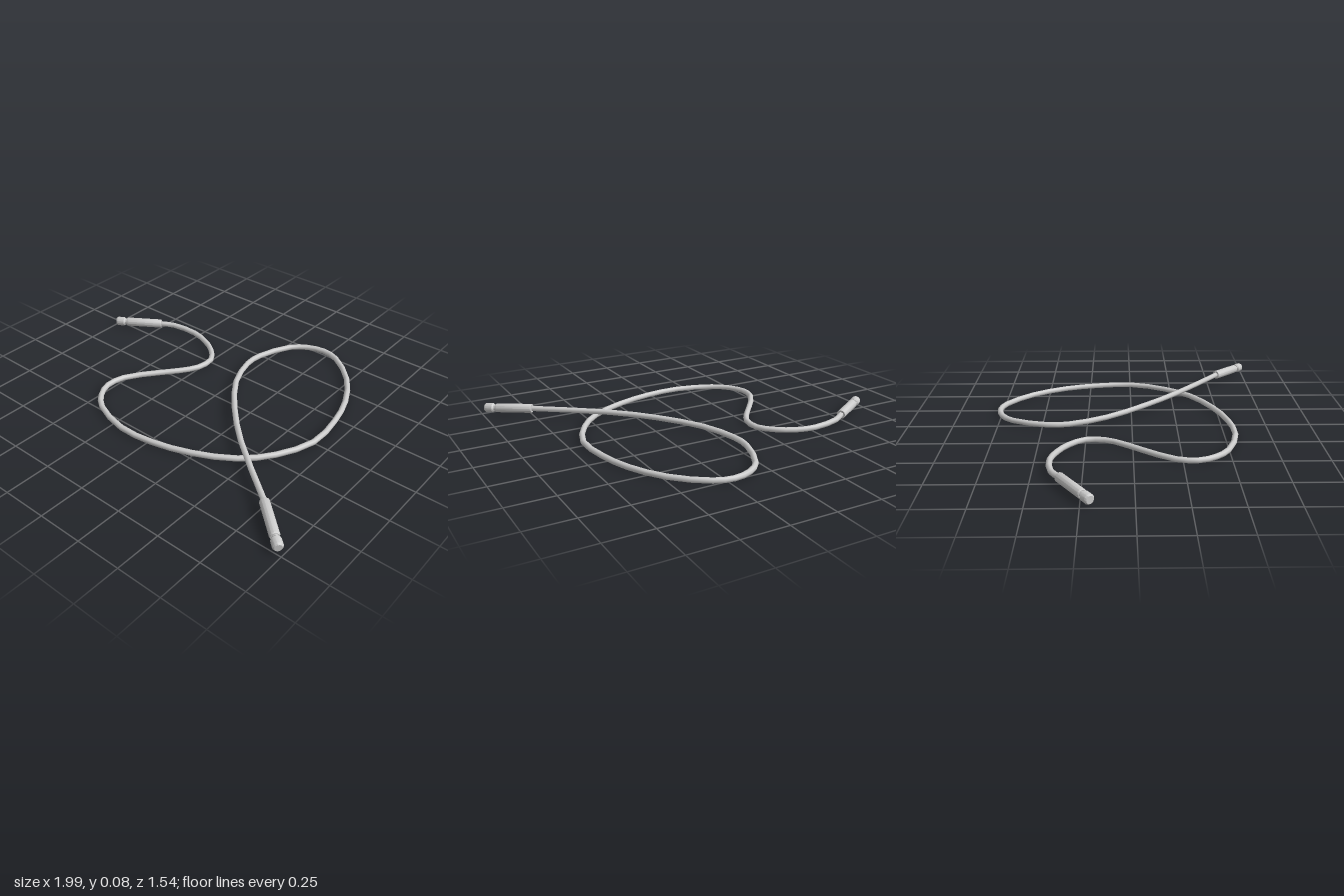
import * as THREE from 'three';
import { toCreasedNormals } from 'three/addons/utils/BufferGeometryUtils.js';

const material = new THREE.MeshStandardMaterial({ color: 0xcccccc });
const R = 0.016; // cable radius, also its height when lying flat

// Cable route on the ground plane, x and z, from one plug to the other
const route = [
  [-0.74, -0.358], [-0.67, -0.4], [-0.515, -0.42], [-0.403, -0.39], [-0.313, -0.337],
  [-0.243, -0.251], [-0.248, -0.144], [-0.307, -0.048], [-0.382, 0.043], [-0.505, 0.214],
  [-0.521, 0.326], [-0.478, 0.417], [-0.393, 0.491], [-0.179, 0.556], [0.03, 0.542],
  [0.243, 0.478], [0.451, 0.363], [0.58, 0.216], [0.668, 0.011], [0.654, -0.208],
  [0.601, -0.4], [0.489, -0.593], [0.323, -0.737], [0.222, -0.764], [0.12, -0.737],
  [0.04, -0.668], [-0.04, -0.465], [-0.04, -0.347], [0.035, -0.144], [0.2, 0.075],
  [0.403, 0.278], [0.76, 0.556],
];

// The cable rests on the ground, lifting to its plugs and over the crossing
const startLift = [0.033, 0.028, 0.02];
const endLift = [0.018, 0.022, 0.026, 0.036, 0.046, 0.051, 0.05];
function height(i) {
  const j = i - (route.length - endLift.length);
  return startLift[i] ?? endLift[j] ?? R;
}

function makeCable() {
  const curve = new THREE.CatmullRomCurve3(
    route.map(([x, z], i) => new THREE.Vector3(x, height(i), z)));
  // Sample per control point, so that bends stay as coarse as the route
  curve.getPointAt = (t, target) => curve.getPoint(t, target);
  curve.getTangentAt = (t, target) => curve.getTangent(t, target);
  const mesh = new THREE.Mesh(
    new THREE.TubeGeometry(curve, (route.length - 1) * 2, R, 8, false), material);
  mesh.name = 'cable';
  return mesh;
}

function lathePart(name, profile) {
  const points = profile.map(([r, y]) => new THREE.Vector2(r, y));
  const geometry = toCreasedNormals(new THREE.LatheGeometry(points, 12), 0.65);
  const mesh = new THREE.Mesh(geometry, material);
  mesh.name = name;
  return mesh;
}

// Plug: long grip, narrow neck and bevelled tip, laid from start to end
function makePlug(name, start, end) {
  const plug = new THREE.Group();
  plug.name = name;
  plug.add(
    lathePart('grip', [[0, 0], [0.024, 0], [0.026, 0.004], [0.026, 0.214], [0.022, 0.221], [0, 0.221]]),
    lathePart('neck', [[0.018, 0.215], [0.018, 0.24]]),
    lathePart('tip', [[0, 0.231], [0.02, 0.231], [0.027, 0.239], [0.027, 0.279], [0.02, 0.288], [0, 0.288]]),
  );
  const direction = end.clone().sub(start).normalize();
  plug.position.copy(start);
  plug.quaternion.setFromUnitVectors(new THREE.Vector3(0, 1, 0), direction);
  return plug;
}

export function createModel() {
  const model = new THREE.Group();
  model.name = 'cableWithPlugs';
  model.add(
    makeCable(),
    makePlug('rightPlug', new THREE.Vector3(-0.742, 0.033, -0.357), new THREE.Vector3(-0.984, 0.033, -0.202)),
    makePlug('leftPlug', new THREE.Vector3(0.761, 0.05, 0.557), new THREE.Vector3(0.979, 0.036, 0.744)),
  );
  return model;
}
